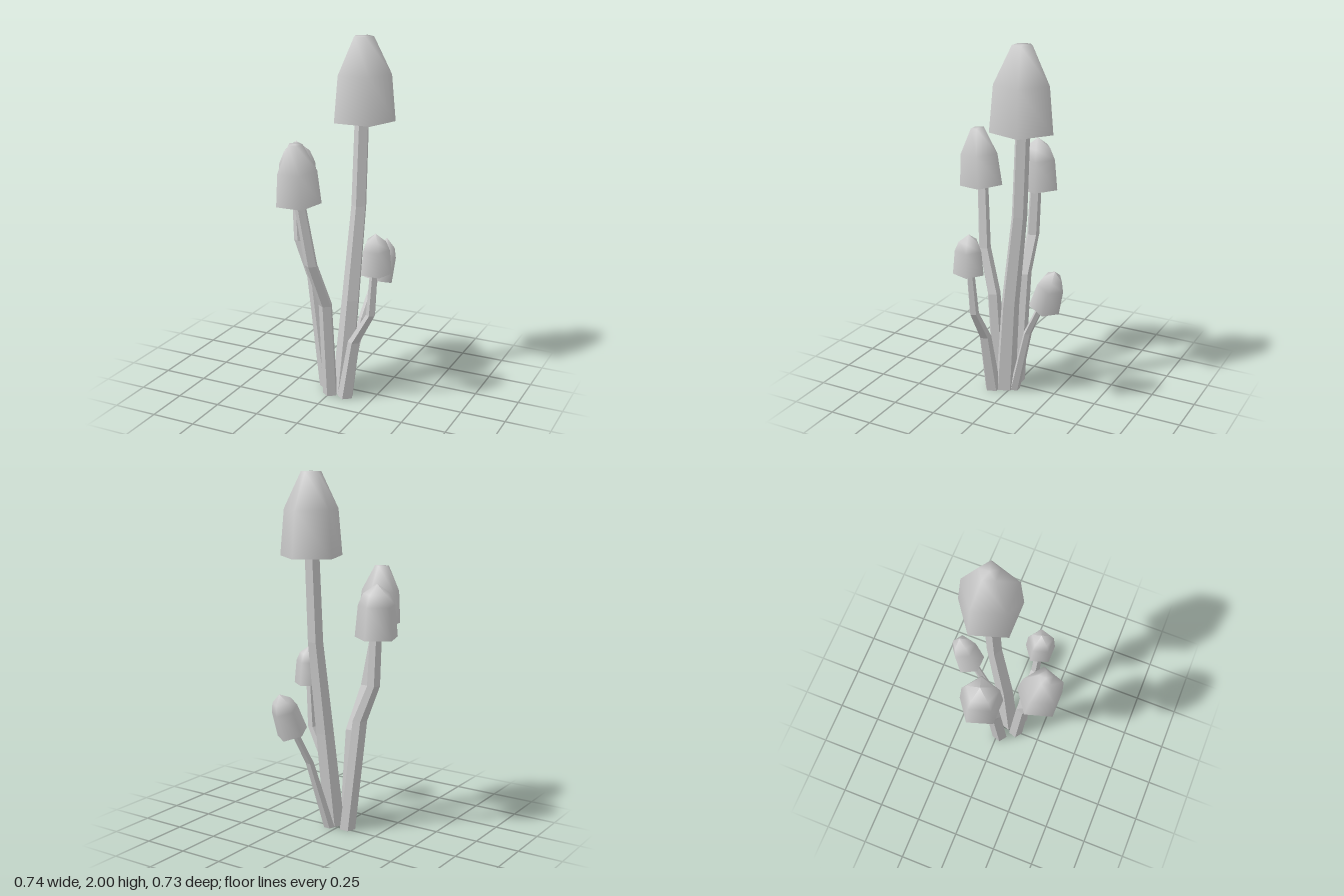
import * as THREE from 'three';

const SIDES = 5;

// Five-sided stem through level cross-sections [x, y, z, radius], open at both ends
function stemGeometry(rings) {
  const pos = [], index = [];
  for (const [x, y, z, r] of rings) {
    for (let i = 0; i < SIDES; i++) {
      const a = (i / SIDES) * Math.PI * 2;
      pos.push(x + Math.sin(a) * r, y, z + Math.cos(a) * r);
    }
  }
  for (let k = 0; k < rings.length - 1; k++) {
    for (let i = 0; i < SIDES; i++) {
      const j = (i + 1) % SIDES;
      const a = k * SIDES + i, b = k * SIDES + j, c = a + SIDES, d = b + SIDES;
      index.push(a, b, d, a, d, c);
    }
  }
  const indexed = new THREE.BufferGeometry();
  indexed.setAttribute('position', new THREE.Float32BufferAttribute(pos, 3));
  indexed.setIndex(index);
  const g = indexed.toNonIndexed(); // flat facets
  g.computeVertexNormals();
  return g;
}

// Hollow bell cap: profile given as [radius, height] fractions
function capGeometry(radius, height, profile) {
  const pts = profile.map(([r, h]) => new THREE.Vector2(r * radius, h * height));
  return new THREE.LatheGeometry(pts, SIDES, Math.PI);
}

const BLUNT = [[1, 0], [0.87, 0.56], [0.32, 1], [0, 1]];
const POINTED = [[1, 0], [0.86, 0.6], [0.62, 0.82], [0, 1]];

const MUSHROOMS = [
  { name: 'tallMushroom', profile: BLUNT, radius: 0.177,
    base: [0.104, 1.55, -0.098], tip: [0.104, 2.0, -0.098],
    stem: [[0.05, 0, 0.038, 0.06], [0.08, 0.55, -0.01, 0.052], [0.097, 1.08, -0.075, 0.044], [0.103, 1.65, -0.1, 0.041]] },
  { name: 'rightMushroom', profile: POINTED, radius: 0.122,
    base: [-0.257, 1.13, -0.011], tip: [-0.257, 1.42, -0.011],
    stem: [[-0.055, 0, 0.015, 0.046], [-0.137, 0.65, 0.012, 0.042], [-0.229, 0.86, 0.003, 0.037], [-0.25, 1.22, -0.005, 0.033]] },
  { name: 'frontMushroom', profile: BLUNT, radius: 0.127,
    base: [-0.106, 1.155, 0.262], tip: [-0.106, 1.475, 0.286],
    stem: [[0.004, 0, 0.1, 0.043], [-0.005, 0.55, 0.14, 0.039], [-0.05, 0.8, 0.222, 0.036], [-0.11, 1.24, 0.265, 0.031]] },
  { name: 'leftMushroom', profile: POINTED, radius: 0.0885,
    base: [0.286, 0.78, 0.13], tip: [0.286, 1.0, 0.13],
    stem: [[0.097, 0, 0.095, 0.046], [0.155, 0.35, 0.11, 0.035], [0.258, 0.53, 0.12, 0.027], [0.283, 0.84, 0.13, 0.021]] },
  { name: 'backMushroom', profile: POINTED, radius: 0.088,
    base: [0.132, 0.595, -0.248], tip: [0.163, 0.826, -0.322],
    stem: [[0.045, 0, -0.02, 0.031], [0.1, 0.4, -0.13, 0.024], [0.13, 0.59, -0.225, 0.021], [0.14, 0.65, -0.255, 0.02]] },
];

export function createModel() {
  const grey = new THREE.MeshStandardMaterial({ color: 0xcccccc, side: THREE.DoubleSide });
  grey.name = 'palegrey';

  const model = new THREE.Group();
  model.name = 'mushroomCluster';

  for (const m of MUSHROOMS) {
    const group = new THREE.Group();
    group.name = m.name;

    const stem = new THREE.Mesh(stemGeometry(m.stem), grey);
    stem.name = 'stem';

    // Cap leans along the line from its rim centre to its tip
    const base = new THREE.Vector3(...m.base);
    const axis = new THREE.Vector3(...m.tip).sub(base);
    const cap = new THREE.Mesh(capGeometry(m.radius, axis.length(), m.profile), grey);
    cap.name = 'cap';
    cap.position.copy(base);
    cap.quaternion.setFromUnitVectors(new THREE.Vector3(0, 1, 0), axis.normalize());

    group.add(stem, cap);
    model.add(group);
  }
  return model;
}
